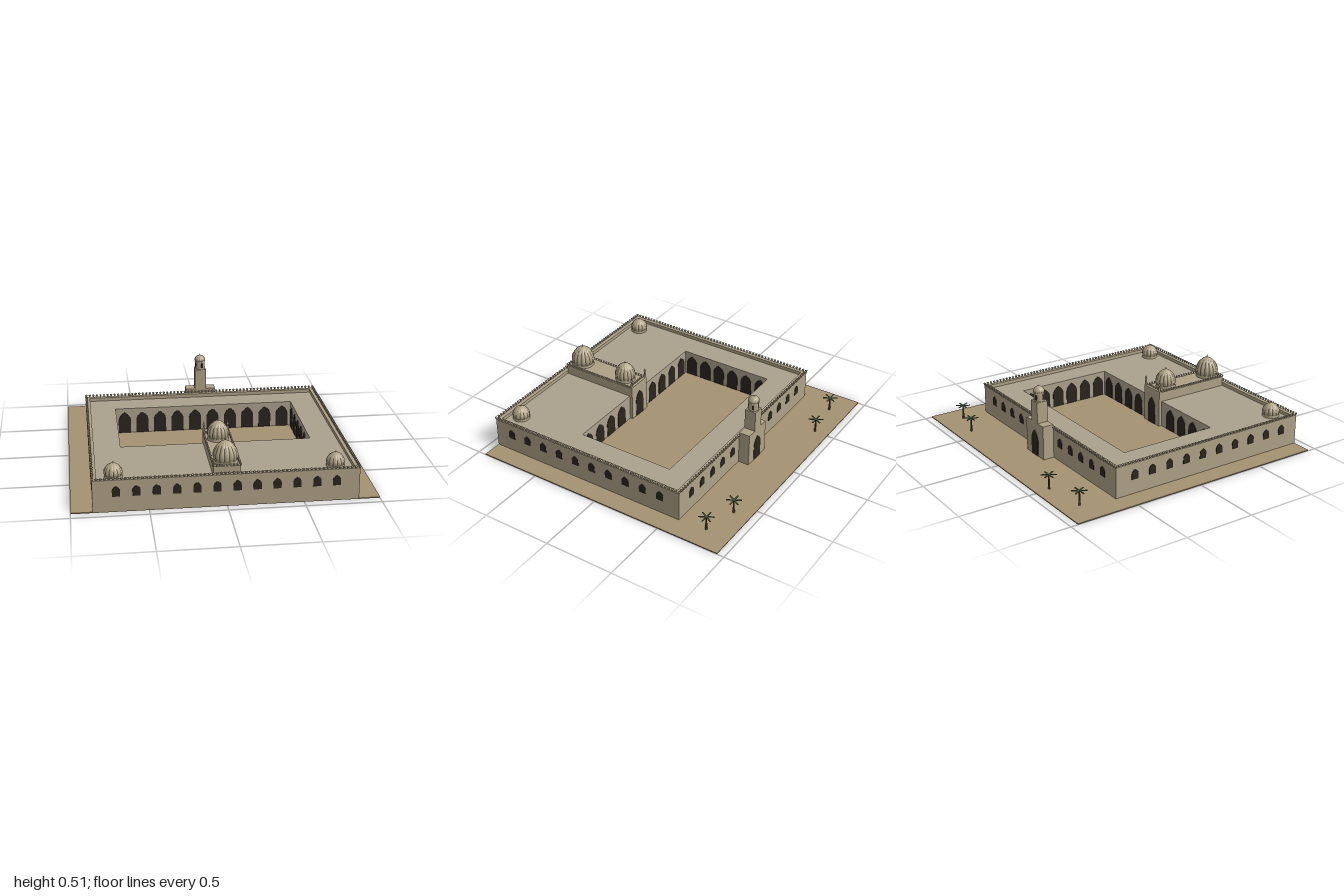
import * as THREE from 'three';
import { mergeGeometries, toCreasedNormals } from 'three/addons/utils/BufferGeometryUtils.js';

const mat = (color) => new THREE.MeshStandardMaterial({ color, side: THREE.DoubleSide });
const V2 = (x, y) => new THREE.Vector2(x, y);

export function createModel() {
  const root = new THREE.Group();
  const stone = mat(0xaea186), roofMat = mat(0xaca18e), sand = mat(0xa49270);
  const dark = mat(0x2b241e), leaf = mat(0x40583c), bark = mat(0x4a3c2c);

  const add = (name, geo, material, parent = root) => {
    const m = new THREE.Mesh(geo, material);
    m.name = name;
    parent.add(m);
    return m;
  };
  // Box given by its limits on each axis
  const block = (name, x0, x1, y0, y1, z0, z1, material = stone) =>
    add(name, new THREE.BoxGeometry(x1 - x0, y1 - y0, z1 - z0)
      .translate((x0 + x1) / 2, (y0 + y1) / 2, (z0 + z1) / 2), material);

  // Pointed arch panel facing +z, standing on its base line
  const arch = (w, h, spring) => {
    const s = new THREE.Shape(), a = w / 2;
    s.moveTo(-a, 0);
    s.lineTo(a, 0);
    s.lineTo(a, spring);
    s.quadraticCurveTo(a * 0.9, spring + (h - spring) * 0.6, 0, h);
    s.quadraticCurveTo(-a * 0.9, spring + (h - spring) * 0.6, -a, spring);
    return new THREE.ExtrudeGeometry(s, { depth: 0.003, bevelEnabled: false, curveSegments: 5 });
  };
  const placed = (geo, x, y, z, turn) => geo.clone().rotateY(turn).translate(x, y, z);

  // Ground
  block('ground', -1, 1, 0, 0.007, -0.95, 0.94, sand);

  // Halls around the courtyard
  const X = 0.86, ZB = -0.575, ZF = 0.94, CX = 0.65, CB = -0.365, CF = 0.35, T = 0.03;
  const ROOF = 0.195, WALL = 0.22;
  block('frontHall', -X + T, X - T, 0, ROOF, CF, ZF - T, roofMat);
  block('backHall', -X + T, X - T, 0, ROOF, ZB + T, CB, roofMat);
  for (const s of [-1, 1]) {
    const [a, b] = [s * CX, s * (X - T)].sort((p, q) => p - q);
    block('sideHall', a, b, 0, ROOF, CB, CF, roofMat);
    const [c, d] = [s * (X - T), s * X].sort((p, q) => p - q);
    block('sideWall', c, d, 0, WALL, ZB, ZF);
  }
  block('frontWall', -X + T, X - T, 0, WALL, ZF - T, ZF);
  block('backWall', -X + T, X - T, 0, WALL, ZB, ZB + T);

  // Merlons along a rectangle
  const merlonRing = (name, x0, x1, z0, z1, y, r, h, step) => {
    const profile = [[0.65, 0], [0.5, 0.35], [1, 0.6], [0.7, 0.8], [0, 1]].map(([a, b]) => V2(a * r, b * h));
    const unit = new THREE.LatheGeometry(profile, 6);
    const list = [];
    const run = (ax, az, bx, bz) => {
      const n = Math.round(Math.hypot(bx - ax, bz - az) / step);
      for (let i = 0; i < n; i++)
        list.push(unit.clone().translate(ax + (bx - ax) * i / n, y, az + (bz - az) * i / n));
    };
    run(x0, z0, x1, z0);
    run(x1, z0, x1, z1);
    run(x1, z1, x0, z1);
    run(x0, z1, x0, z0);
    add(name, mergeGeometries(list), stone);
  };
  merlonRing('wallMerlons', -X + 0.003, X - 0.003, ZB, ZF, WALL, 0.01, 0.019, 0.0265);

  // Outer windows
  const win = arch(0.052, 0.07, 0.042), windows = [];
  for (let i = 0; i < 12; i++) {
    const x = (i - 5.5) * 0.129;
    windows.push(placed(win, x, 0.107, ZF, 0));
    if (Math.abs(x) > 0.1) windows.push(placed(win, x, 0.107, ZB, Math.PI));
  }
  for (let i = 0; i < 10; i++)
    for (const s of [-1, 1])
      windows.push(placed(win, s * X, 0.107, 0.805 - i * 0.137, s * Math.PI / 2));
  add('windows', mergeGeometries(windows), dark);

  // Courtyard arcades
  const bay = arch(0.09, 0.158, 0.1), bays = [];
  for (let i = 0; i < 10; i++) {
    const x = (i - 4.5) * 0.13;
    bays.push(placed(bay, x, 0.007, CB, 0));
    if (Math.abs(x) > 0.1) bays.push(placed(bay, x, 0.007, CF, Math.PI));
  }
  for (let i = 0; i < 6; i++)
    for (const s of [-1, 1])
      bays.push(placed(bay, s * CX, 0.007, CB + 0.119 * (i + 0.5), -s * Math.PI / 2));
  add('arcades', mergeGeometries(bays), dark);

  // Raised nave with its courtyard facade
  block('nave', -0.088, 0.088, 0, 0.265, 0.345, ZF - T);
  merlonRing('naveMerlons', -0.088, 0.088, 0.35, ZF - T, 0.265, 0.008, 0.018, 0.022);
  block('naveFacade', -0.09, 0.09, 0, 0.272, 0.328, 0.35);
  add('naveDoor', placed(arch(0.085, 0.2, 0.13), 0, 0.007, 0.328, Math.PI), dark);
  for (const s of [-1, 1]) {
    const pinnacle = [[0.008, 0], [0.008, 0.3], [0.004, 0.312], [0.009, 0.322], [0.005, 0.335], [0, 0.345]];
    add('facadePinnacle', new THREE.LatheGeometry(pinnacle.map(p => V2(...p)), 8), stone)
      .position.set(s * 0.082, 0, 0.335);
  }

  // Ribbed domes on drums, with finials
  const dome = (name, x, y, z, r, h, drum, ribs) => {
    const g = new THREE.Group();
    g.name = name;
    g.position.set(x, y, z);
    root.add(g);
    add('drum', new THREE.CylinderGeometry(r * 0.93, r * 0.96, drum, 24).translate(0, drum / 2, 0), stone, g);
    const curve = new THREE.SplineCurve([[0.92, 0], [1, 0.2], [0.92, 0.45], [0.68, 0.72], [0.34, 0.91], [0.02, 1]]
      .map(([a, b]) => V2(a * r, b * h)));
    const geo = new THREE.LatheGeometry(curve.getPoints(14), ribs * 6);
    const p = geo.attributes.position;
    for (let i = 0; i < p.count; i++) {
      const k = 0.91 + 0.09 * Math.abs(Math.sin(Math.atan2(p.getZ(i), p.getX(i)) * ribs / 2));
      p.setX(i, p.getX(i) * k);
      p.setZ(i, p.getZ(i) * k);
    }
    add('shell', toCreasedNormals(geo, 0.5), stone, g).position.y = drum;
    const tip = [[0.1, -0.02], [0.03, 0.03], [0.07, 0.08], [0.02, 0.13], [0, 0.2]].map(([a, b]) => V2(a * r, b * r));
    add('finial', new THREE.LatheGeometry(tip, 8), stone, g).position.y = drum + h;
  };
  dome('frontDome', 0, 0.265, 0.83, 0.084, 0.128, 0.02, 14);
  dome('courtDome', 0, 0.265, 0.45, 0.075, 0.113, 0.02, 14);
  for (const s of [-1, 1]) dome('cornerDome', s * 0.72, ROOF, 0.83, 0.062, 0.08, 0.018, 12);

  // Rear gate and tower
  block('gateBase', -0.11, 0.11, 0, 0.25, -0.655, ZB);
  block('towerShaft', -0.041, 0.041, 0.25, 0.4, -0.656, -0.574);
  add('gateDoor', placed(arch(0.085, 0.185, 0.12), 0, 0.007, -0.655, Math.PI), dark);
  add('towerLantern', new THREE.CylinderGeometry(0.036, 0.038, 0.06, 8).translate(0, 0.43, -0.615), stone);
  const slit = arch(0.014, 0.04, 0.028), slits = [];
  for (let i = 0; i < 4; i++) {
    const a = i * Math.PI / 2 + Math.PI / 8;
    slits.push(placed(slit, Math.sin(a) * 0.033, 0.41, -0.615 + Math.cos(a) * 0.033, a));
  }
  add('lanternOpenings', mergeGeometries(slits), dark);
  dome('towerDome', 0, 0.455, -0.615, 0.04, 0.044, 0.006, 10);

  // Palms
  for (const [x, z] of [[-0.8, -0.81], [-0.5, -0.85], [0.6, -0.83], [0.84, -0.77]]) {
    const palm = new THREE.Group();
    palm.name = 'palm';
    palm.position.set(x, 0.007, z);
    add('trunk', new THREE.CylinderGeometry(0.005, 0.008, 0.1, 7).translate(0, 0.05, 0), bark, palm);
    for (let i = 0; i < 6; i++) {
      const frond = new THREE.BoxGeometry(0.052, 0.004, 0.009).translate(0.026, 0.101, 0);
      add('frond', frond.rotateY(i * Math.PI / 3), leaf, palm);
    }
    root.add(palm);
  }
  return root;
}
